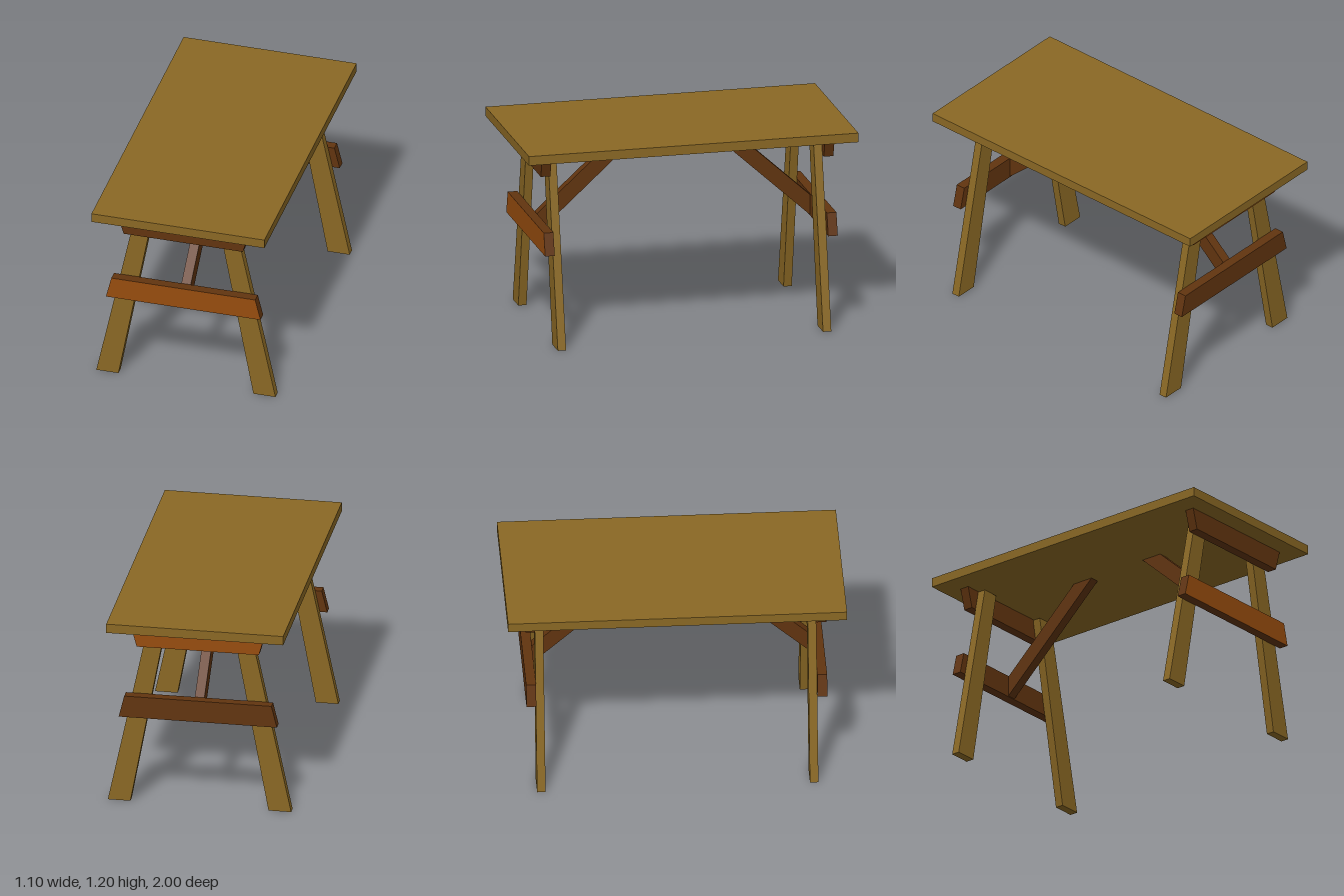
import * as THREE from 'three';

const material = (name, color) => {
  const m = new THREE.MeshStandardMaterial({ color });
  m.name = name;
  return m;
};

// Extrude a polygon, given as [x, y] corners, to a board from z0 to z1
function board(points, z0, z1) {
  const shape = new THREE.Shape(points.map(([x, y]) => new THREE.Vector2(x, y)));
  const geometry = new THREE.ExtrudeGeometry(shape, { depth: z1 - z0, bevelEnabled: false });
  return geometry.translate(0, 0, z0);
}

// Symmetrical trapezium with half widths at the bottom and the top
const trapezium = (bottom, top, y0, y1) => [[-bottom, y0], [bottom, y0], [top, y1], [-top, y1]];

export function createModel() {
  const oak = material('oak', 0x8a6824);
  const darkBrown = material('dark brown', 0x61340f);
  const orangeBrown = material('orange brown', 0x974c0e);

  const model = new THREE.Group();
  model.name = 'table';

  function add(parent, name, geometry, mat) {
    const mesh = new THREE.Mesh(geometry, mat);
    mesh.name = name;
    parent.add(mesh);
    return mesh;
  }

  // Cross rail whose outer face may have its own colour
  function rail(parent, name, points, outerMaterial) {
    const geometry = board(points, 0.83, 0.888);
    const [caps, sides] = geometry.groups.map((g) => ({ ...g }));
    geometry.clearGroups();
    geometry.addGroup(caps.start, caps.count / 2, 0);
    geometry.addGroup(caps.start + caps.count / 2, caps.count / 2, 1);
    geometry.addGroup(sides.start, sides.count, 0);
    add(parent, name, geometry, [darkBrown, outerMaterial]);
  }

  // Table top
  const top = add(model, 'tableTop', new THREE.BoxGeometry(1.058, 0.056, 2), oak);
  top.position.set(-0.005, 1.172, 0);

  // A trestle at each end, the back one turned round
  for (const end of ['front', 'back']) {
    const isFront = end === 'front';
    const trestle = new THREE.Group();
    trestle.name = end + 'Trestle';
    trestle.position.x = -0.004;
    trestle.rotation.y = isFront ? 0 : Math.PI;
    model.add(trestle);

    // Splayed, slightly tapered legs
    for (const s of [1, -1]) {
      const corners = [[0.413, 0], [0.548, 0], [0.306, 1.14], [0.202, 1.14]].map(([x, y]) => [s * x, y]);
      add(trestle, end + (s > 0 ? 'LegA' : 'LegB'), board(corners, 0.78, 0.83), oak);
    }

    // Rails outside the legs
    rail(trestle, end + 'UpperRail', trapezium(0.365, 0.4, 1.02, 1.144), isFront ? darkBrown : orangeBrown);
    rail(trestle, end + 'LowerRail', trapezium(0.473, 0.44, 0.562, 0.696), isFront ? orangeBrown : darkBrown);

    // Diagonal brace from the lower rail up to the underside of the top
    const brace = board([[-0.83, 0.566], [-0.195, 1.144], [-0.33, 1.144], [-0.83, 0.69]], -0.0285, 0.0285);
    add(trestle, end + 'Brace', brace.rotateY(Math.PI / 2), darkBrown);
  }
  return model;
}
